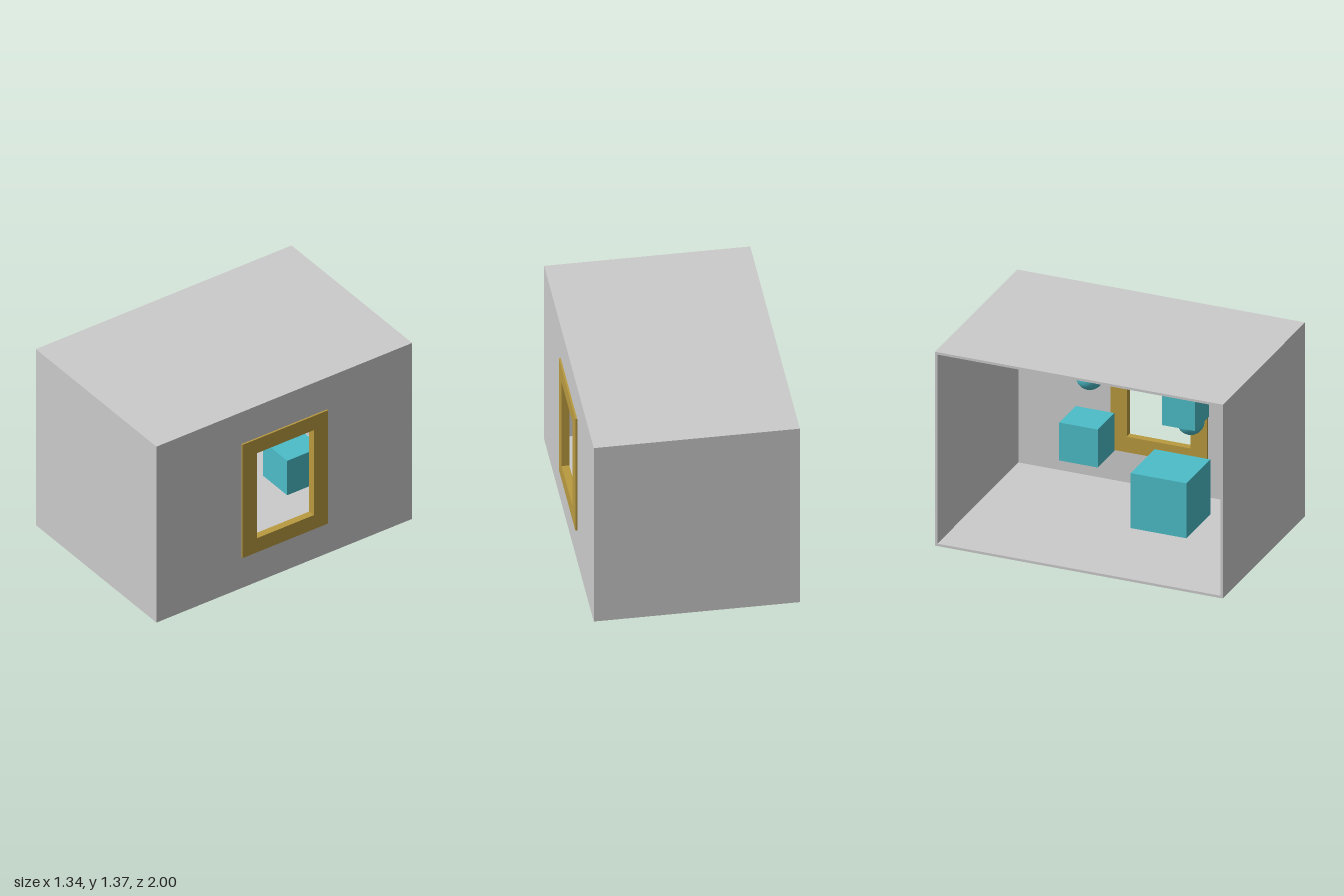
import * as THREE from 'three';

const grey = new THREE.MeshStandardMaterial({ color: 0xcccccc });
const gold = new THREE.MeshStandardMaterial({ color: 0xba9a40 });
const teal = new THREE.MeshStandardMaterial({ color: 0x4cbdc8 });

// Room extents and wall thickness
const X0 = -0.672, X1 = 0.66, H = 1.37, T = 0.017;

export function createModel() {
  const group = new THREE.Group();

  const add = (name, geometry, material, x, y, z) => {
    const mesh = new THREE.Mesh(geometry, material);
    mesh.name = name;
    mesh.position.set(x, y, z);
    group.add(mesh);
    return mesh;
  };

  // Upright panel in the yz plane with a rectangular hole; x is its inner face
  const holedPanel = (name, material, x, depth, outer, inner) => {
    const corners = ([z0, y0, z1, y1]) =>
      [[z0, y0], [z1, y0], [z1, y1], [z0, y1]].map(([a, b]) => new THREE.Vector2(a, b));
    const shape = new THREE.Shape(corners(outer));
    shape.holes.push(new THREE.Path(corners(inner)));
    const geometry = new THREE.ExtrudeGeometry(shape, { depth, bevelEnabled: false });
    add(name, geometry, material, x, 0, 0).rotation.y = Math.PI / 2;
  };

  // Floor and ceiling slabs
  const width = X1 - X0, midX = (X0 + X1) / 2;
  for (const [name, y] of [['floor', T / 2], ['ceiling', H - T / 2]])
    add(name, new THREE.BoxGeometry(width, T, 2), grey, midX, y, 0);

  // Front and back walls; the right-hand side (-x) stays open
  for (const [name, s] of [['frontWall', 1], ['backWall', -1]])
    add(name, new THREE.BoxGeometry(width, H - 2 * T, T), grey, midX, H / 2, s * (1 - T / 2));

  // Window wall and its frame, which stands proud on both sides
  holedPanel('windowWall', grey, X1 - T, T, [-1 + T, T, 1 - T, H - T], [-0.3, 0.28, 0.3, 1.08]);
  holedPanel('windowFrame', gold, 0.622, 0.05, [-0.334, 0.24, 0.334, 1.122], [-0.222, 0.35, 0.222, 1.012]);

  // Cubes floating inside the room: size, centre
  for (const [name, s, x, y, z] of [
    ['largeCube', 0.388, -0.255, 0.457, 0.457],
    ['mediumCube', 0.268, 0.26, 0.485, -0.345],
    ['smallCube', 0.228, 0.075, 0.934, 0.42],
  ]) add(name, new THREE.BoxGeometry(s, s, s), teal, x, y, z);

  // Spheres floating inside the room: centre
  for (const [name, x, y, z] of [
    ['frontSphere', 0.30, 0.71, 0.36],
    ['backSphere', 0.10, 1.0, -0.255],
  ]) add(name, new THREE.SphereGeometry(0.089, 32, 20), teal, x, y, z);

  return group;
}
